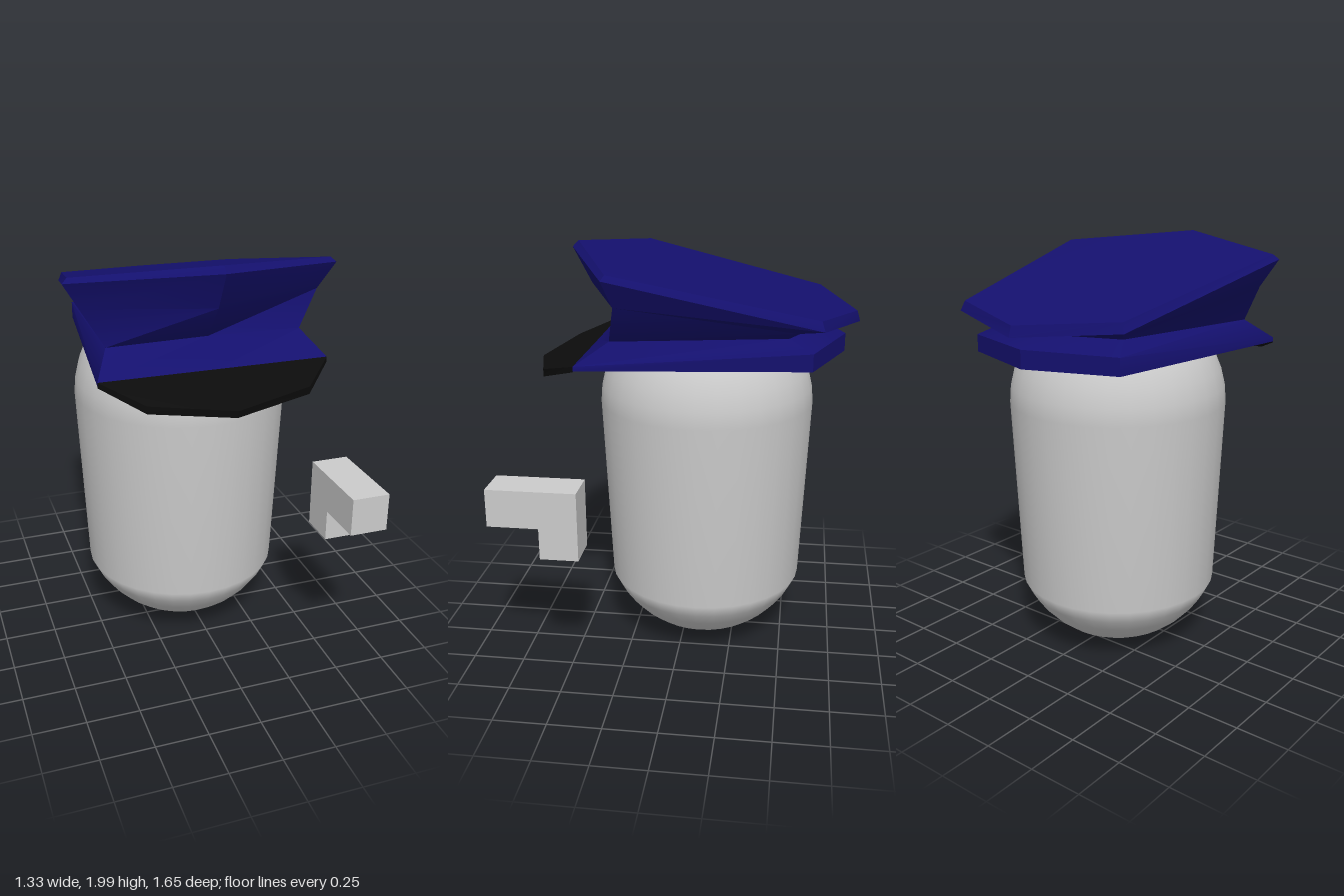
import * as THREE from 'three';
import { toCreasedNormals } from 'three/addons/utils/BufferGeometryUtils.js';

// Closed solid through rings of [x, y, z], bottom ring first, each counterclockwise from above
function loft(rings) {
  const n = rings[0].length, last = (rings.length - 1) * n, index = [];
  for (let r = 0; r < rings.length - 1; r++) {
    for (let k = 0; k < n; k++) {
      const a = r * n + k, b = r * n + (k + 1) % n;
      index.push(a, b, b + n, a, b + n, a + n);
    }
  }
  for (let k = 1; k < n - 1; k++) {
    index.push(0, k + 1, k);
    index.push(last, last + k, last + k + 1);
  }
  const geo = new THREE.BufferGeometry();
  geo.setAttribute('position', new THREE.Float32BufferAttribute(rings.flat(2), 3));
  geo.setIndex(index);
  return toCreasedNormals(geo, 0.6);
}

// Mirrored hexagon: front point, side corner, rear corner, back point
function hexRing([fy, fz], [sx, sy, sz], [rx, ry, rz], [by, bz]) {
  return [[0, fy, fz], [sx, sy, sz], [rx, ry, rz], [0, by, bz], [-rx, ry, rz], [-sx, sy, sz]];
}

export function createModel() {
  const model = new THREE.Group();
  const grey = new THREE.MeshStandardMaterial({ color: 0xcccccc });
  const blue = new THREE.MeshStandardMaterial({ color: 0x14106e });
  const black = new THREE.MeshStandardMaterial({ color: 0x0c0c0c });
  const add = (parent, name, geo, material) => {
    const mesh = new THREE.Mesh(geo, material);
    mesh.name = name;
    parent.add(mesh);
    return mesh;
  };

  // Capsule body, slightly narrower at the bottom
  const R = 0.52, profile = [];
  const lowEnd = Math.asin(0.48 / R);
  for (let i = 0; i <= 8; i++) {
    const a = lowEnd * i / 8;
    profile.push(new THREE.Vector2(R * Math.sin(a), 0.53 - R * Math.cos(a)));
  }
  for (let i = 0; i <= 10; i++) {
    const a = Math.PI / 2 * i / 10;
    profile.push(new THREE.Vector2(Math.max(R * Math.cos(a), 0), 1.24 + R * Math.sin(a)));
  }
  const body = add(model, 'body', new THREE.LatheGeometry(profile, 32), grey);
  body.position.set(-0.03, 0, -0.1);

  // Peaked cap: band, waist and a crown tilted down to the back
  const cap = new THREE.Group();
  cap.name = 'cap';
  cap.position.x = -0.03;
  model.add(cap);
  add(cap, 'capCrown', loft([
    hexRing([1.5, 0.44], [0.535, 1.5, 0.44], [0.42, 1.5, -0.61], [1.5, -0.76]),
    hexRing([1.52, 0.44], [0.535, 1.52, 0.44], [0.42, 1.58, -0.61], [1.585, -0.76]),
    hexRing([1.64, 0.33], [0.46, 1.62, 0.29], [0.35, 1.63, -0.5], [1.63, -0.62]),
    hexRing([1.8, 0.46], [0.56, 1.79, 0.25], [0.38, 1.66, -0.54], [1.635, -0.67]),
    hexRing([1.97, 0.55], [0.635, 1.915, 0.285], [0.475, 1.69, -0.655], [1.645, -0.825]),
    hexRing([2.0, 0.52], [0.61, 1.937, 0.27], [0.46, 1.735, -0.64], [1.695, -0.81]),
  ]), blue);

  // Thin visor sloping down from the front of the band
  const edge = (root, side, tip, tipZ) => [
    [-0.535, root, 0.44], [-0.37, side, 0.62], [0, tip, tipZ],
    [0.37, side, 0.62], [0.535, root, 0.44],
  ];
  add(cap, 'visor', loft([edge(1.495, 1.425, 1.395, 0.71), edge(1.52, 1.46, 1.43, 0.72)]), black);

  // L-shaped pistol held beside the body, drawn in (z, y) and extruded along x
  const outline = [[0.41, 0.65], [0.59, 0.65], [0.59, 0.8], [0.83, 0.8], [0.83, 0.98], [0.41, 0.98]];
  const shape = new THREE.Shape(outline.map(([z, y]) => new THREE.Vector2(-z, y)));
  const pistolGeo = new THREE.ExtrudeGeometry(shape, { depth: 0.18, bevelEnabled: false });
  pistolGeo.rotateY(Math.PI / 2);
  const pistol = add(model, 'pistol', pistolGeo, grey);
  pistol.position.x = 0.48;

  return model;
}
